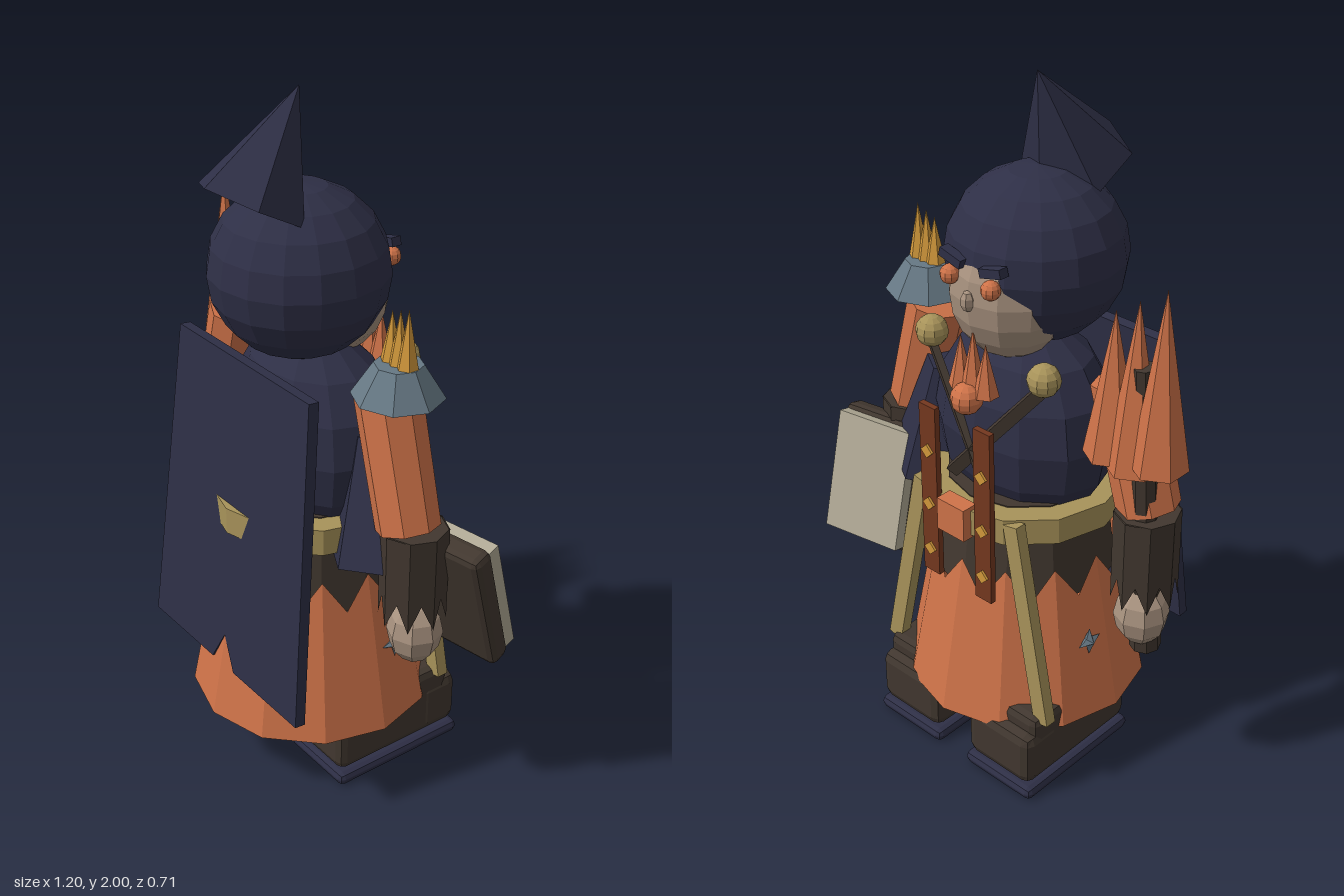
import * as THREE from 'three';
import { RoundedBoxGeometry } from 'three/addons/geometries/RoundedBoxGeometry.js';

const mat = (name, color) => {
  const m = new THREE.MeshStandardMaterial({ color, flatShading: true, side: THREE.DoubleSide });
  m.name = name;
  return m;
};

export function createModel() {
  const navy = mat('navy cloth', 0x2e2f46), orange = mat('orange cloth', 0xcf7349);
  const brown = mat('dark leather', 0x41372f), olive = mat('tan trim', 0xa8935a);
  const steel = mat('steel', 0x667884), skin = mat('skin', 0xa8927f);
  const rust = mat('rust strap', 0x74381f), gold = mat('gold', 0xd49a3c), paper = mat('paper', 0xb0a995);

  const root = new THREE.Group();
  root.name = 'robedFigure';
  const body = new THREE.Group();
  body.name = 'body';
  body.position.x = -0.013;
  root.add(body);

  const V = (x, y, z) => new THREE.Vector3(x, y, z);
  const add = (name, geo, m, x = 0, y = 0, z = 0, parent = body) => {
    const mesh = new THREE.Mesh(geo, m);
    mesh.name = name;
    mesh.position.set(x, y, z);
    parent.add(mesh);
    return mesh;
  };
  const ball = (name, m, x, y, z, rx, ry = rx, rz = rx, w = 10, h = 8) => {
    const mesh = add(name, new THREE.SphereGeometry(1, w, h), m, x, y, z);
    mesh.scale.set(rx, ry, rz);
    return mesh;
  };
  // Tapered rod from a (radius ra) to b (radius rb)
  const limb = (name, m, a, b, ra, rb, sides) => {
    const d = b.clone().sub(a), c = a.clone().add(b).multiplyScalar(0.5);
    const mesh = add(name, new THREE.CylinderGeometry(rb, ra, d.length(), sides), m, c.x, c.y, c.z);
    mesh.quaternion.setFromUnitVectors(V(0, 1, 0), d.normalize());
    return mesh;
  };
  // Flat bar from a to b
  const bar = (name, m, a, b, w, t) => {
    const d = b.clone().sub(a), c = a.clone().add(b).multiplyScalar(0.5);
    const mesh = add(name, new THREE.BoxGeometry(w, d.length(), t), m, c.x, c.y, c.z);
    mesh.quaternion.setFromUnitVectors(V(0, 1, 0), d.normalize());
    return mesh;
  };
  // Conical band with one ragged edge (y alternates between ya and yb) and one plain edge (yEnd)
  const ragged = (n, ya, yb, yEnd, radius) => {
    const pos = [], idx = [];
    for (let i = 0; i <= 2 * n; i++) {
      const t = i * Math.PI / n, k = i % 2 ? Math.cos(Math.PI / n) : 1;
      const pair = [i % 2 ? yb : ya, yEnd].sort((p, q) => q - p);
      for (const y of pair) pos.push(Math.sin(t) * radius(y) * k, y, Math.cos(t) * radius(y) * k);
      if (i) { const a = 2 * i - 2; idx.push(a, a + 1, a + 3, a, a + 3, a + 2); }
    }
    const g = new THREE.BufferGeometry();
    g.setAttribute('position', new THREE.Float32BufferAttribute(pos, 3));
    g.setIndex(idx);
    g.computeVertexNormals();
    return g;
  };

  // Robe: dark underskirt, ragged orange skirt, belt and rounded torso
  const skirtR = y => 0.355 - (y - 0.195) * 0.19;
  add('underskirt', new THREE.CylinderGeometry(0.225, 0.262, 0.3, 12), brown, 0, 0.72, 0);
  add('skirt', ragged(12, 0.68, 0.58, 0.195, skirtR), orange);
  const hem = add('skirtUnderside', new THREE.CircleGeometry(0.35, 12, Math.PI / 2), orange, 0, 0.2, 0);
  hem.rotation.x = Math.PI / 2;
  add('belt', new THREE.CylinderGeometry(0.29, 0.29, 0.078, 12), olive, 0, 0.828, 0);
  ball('torso', navy, 0, 1.03, 0, 0.285, 0.31, 0.215, 12, 8);

  // Hood, folded hat point and face
  ball('hood', navy, 0, 1.513, 0.04, 0.247, 0.24, 0.247, 16, 10);
  add('hatPoint', new THREE.ConeGeometry(0.155, 0.32, 6), navy, 0, 1.859, 0.112).rotation.x = -0.49;
  ball('face', skin, 0, 1.45, -0.06, 0.17, 0.2, 0.165, 12, 10);
  ball('nose', skin, 0, 1.46, -0.222, 0.02, 0.03, 0.02, 6, 5);
  for (let i = -1; i <= 1; i++)
    add('beardFlame', new THREE.ConeGeometry(0.036, i ? 0.15 : 0.18, 6), orange, i * 0.045, i ? 1.27 : 1.285, -0.205);
  ball('chestBead', orange, 0, 1.18, -0.232, 0.045);

  // Cape with a notched hem
  const cape = new THREE.Shape();
  [[-0.3, 0.945], [0.3, 0.945], [0.357, 0], [0.053, 0], [0, 0.1], [-0.053, 0], [-0.357, 0]]
    .forEach(([x, y], i) => (i ? cape.lineTo(x, y) : cape.moveTo(x, y)));
  const capeGeo = new THREE.ExtrudeGeometry(cape, { depth: 0.032, bevelEnabled: false });
  add('cape', capeGeo, navy, 0, 0.35, 0.286).rotation.x = -0.095;

  // Parts repeated on both sides
  for (const s of [-1, 1]) {
    // Boots
    add('boot', new RoundedBoxGeometry(0.235, 0.22, 0.4, 1, 0.025), brown, s * 0.18, 0.16, -0.085);
    add('bootToe', new RoundedBoxGeometry(0.24, 0.17, 0.14, 1, 0.03), brown, s * 0.18, 0.135, -0.25);
    add('sole', new RoundedBoxGeometry(0.255, 0.04, 0.445, 1, 0.018), navy, s * 0.18, 0.022, -0.102);

    // Arms
    limb('upperArm', orange, V(s * 0.433, 0.92, 0.005), V(s * 0.336, 1.27, 0.005), 0.088, 0.09, 8);
    const cuff = add('forearm', ragged(8, 0.64, 0.72, 0.92, () => 0.09), brown, s * 0.443, 0, -0.01);
    cuff.scale.z = 1.05;
    add('cuffTop', new THREE.CylinderGeometry(0.09, 0.09, 0.02, 8), brown, s * 0.443, 0.91, -0.01);
    ball('hand', skin, s * 0.445, 0.59, -0.02, 0.078, 0.095, 0.078, 8, 6);

    // Face details and shoulder beads
    ball('eyeBead', orange, s * 0.072, 1.51, -0.212, 0.027);
    add('brow', new THREE.BoxGeometry(0.075, 0.025, 0.03), navy, s * 0.07, 1.555, -0.2).rotation.z = s * 0.25;
    ball('shoulderBead', olive, s * 0.203, 1.28, -0.156, 0.046);

    // Chest bands, hanging stoles and studded straps
    bar('chestBand', brown, V(s * 0.2, 1.25, -0.16), V(s * -0.06, 0.93, -0.232), 0.035, 0.02);
    bar('stole', olive, V(s * 0.295, 0.25, -0.245), V(s * 0.17, 0.86, -0.235), 0.05, 0.035);
    bar('frontStrap', rust, V(s * 0.1, 0.6, -0.275), V(s * 0.1, 1.14, -0.275), 0.06, 0.018);
    for (const y of [0.68, 0.83, 1.0])
      add('strapStud', new THREE.BoxGeometry(0.03, 0.03, 0.008), gold, s * 0.1, y, -0.287).rotation.z = Math.PI / 4;

    // Small four-pointed charms on the skirt
    for (const turn of [0, Math.PI / 2]) {
      const charm = add('charm', new THREE.OctahedronGeometry(0.045), steel, s * 0.305, 0.44, -0.07);
      charm.scale.set(0.4, 1, 0.35);
      charm.rotation.x = turn;
    }
  }
  add('strapClasp', new THREE.BoxGeometry(0.1, 0.1, 0.05), orange, 0, 0.83, -0.28);

  // Loose flared sleeve above the book
  limb('flaredSleeve', navy, V(0.31, 0.77, -0.02), V(0.26, 1.12, -0.03), 0.16, 0.07, 6);

  // Steel bowl with gold flames on one shoulder
  add('shoulderBowl', new THREE.CylinderGeometry(0.065, 0.123, 0.09, 8), steel, 0.383, 1.333, 0.01);
  for (let i = -1; i <= 1; i++) {
    const h = 0.15 + i * 0.012;
    add('goldFlame', new THREE.ConeGeometry(0.03, h, 6), gold, 0.385 + i * 0.032, 1.375 + h / 2, 0.01);
  }

  // Staff with three large flames
  limb('staff', brown, V(-0.448, 0.47, 0), V(-0.455, 1.38, -0.07), 0.045, 0.03, 8);
  [[-0.517, 1.112, 1.61], [-0.435, 1.08, 1.555], [-0.362, 1.09, 1.505]].forEach(([x, lo, hi]) =>
    add('staffFlame', new THREE.ConeGeometry(0.077, hi - lo, 6), orange, x, (lo + hi) / 2, -0.07));

  // Book, tilted, with its pages to the face side
  const book = new THREE.Group();
  book.name = 'book';
  book.position.set(0.465, 0.69, -0.15);
  book.rotation.set(0.28, 0.17, 0, 'YXZ');
  body.add(book);
  add('bookCover', new RoundedBoxGeometry(0.28, 0.4, 0.07, 1, 0.02), brown, 0, 0, 0.02, book);
  add('bookPages', new THREE.BoxGeometry(0.26, 0.365, 0.04), paper, 0, 0, -0.03, book);

  return root;
}
